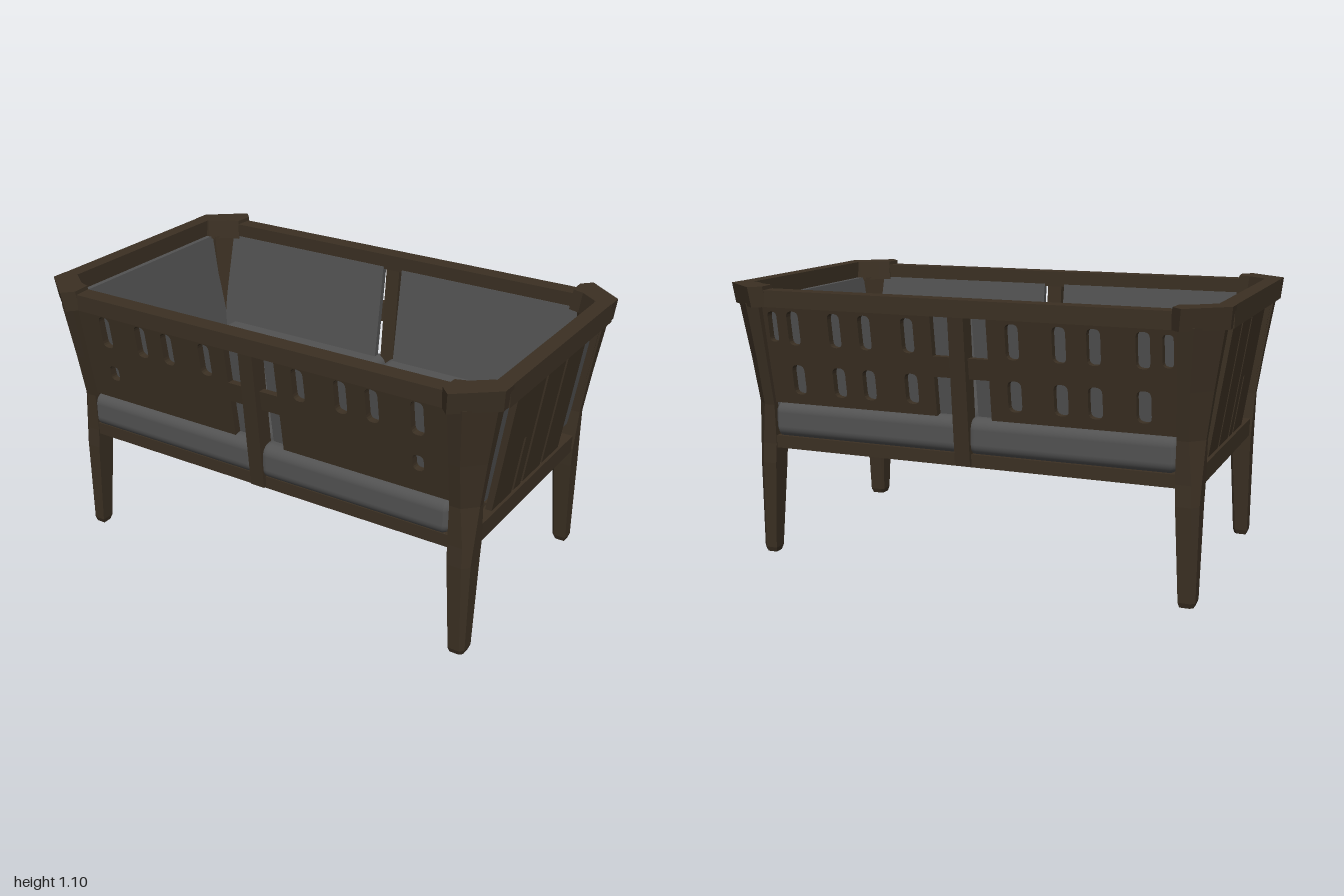
import * as THREE from 'three';
import { RoundedBoxGeometry } from 'three/addons/geometries/RoundedBoxGeometry.js';

const wood = new THREE.MeshStandardMaterial({ color: 0x3b3023 });
wood.name = 'dark wood';
const fabric = new THREE.MeshStandardMaterial({ color: 0x525252 });
fabric.name = 'grey fabric';

export function createModel() {
  const model = new THREE.Group();
  model.name = 'slattedDaybed';

  const add = (name, geometry, material) => {
    const mesh = new THREE.Mesh(geometry, material);
    mesh.name = name;
    model.add(mesh);
    return mesh;
  };
  // box from its lower and upper limits
  const box = (name, x0, x1, y0, y1, z0, z1, material = wood) =>
    add(name, new THREE.BoxGeometry(x1 - x0, y1 - y0, z1 - z0), material)
      .position.set((x0 + x1) / 2, (y0 + y1) / 2, (z0 + z1) / 2);

  const rect = (Type, x0, x1, y0, y1) => new Type([
    new THREE.Vector2(x0, y0), new THREE.Vector2(x1, y0),
    new THREE.Vector2(x1, y1), new THREE.Vector2(x0, y1)]);
  // upright slot with rounded corners
  const slot = (cx, w, y0, y1) => {
    const p = new THREE.Path(), r = w * 0.45, a = cx - w / 2, b = cx + w / 2;
    p.moveTo(a, y0 + r).quadraticCurveTo(a, y0, a + r, y0).lineTo(b - r, y0);
    p.quadraticCurveTo(b, y0, b, y0 + r).lineTo(b, y1 - r);
    p.quadraticCurveTo(b, y1, b - r, y1).lineTo(a + r, y1);
    p.quadraticCurveTo(a, y1, a, y1 - r).lineTo(a, y0 + r);
    return p;
  };
  // upright board that leans outwards with height, turned to face one side
  const leaning = (name, shape, thickness, outer, slope, turn, material) => {
    const g = new THREE.ExtrudeGeometry(shape, { depth: thickness, bevelEnabled: false, curveSegments: 4 });
    const p = g.attributes.position;
    for (let i = 0; i < p.count; i++) {
      p.setZ(i, p.getZ(i) - thickness + outer + slope * (p.getY(i) - 0.6));
    }
    g.computeVertexNormals();
    g.rotateY(turn);
    add(name, g, material);
  };

  // corner legs: tapered feet flaring into chamfered posts
  // [y, outer x, outer z, inner x, inner z, outer chamfer, inner chamfer]
  const levels = [
    [0, 0.895, 0.495, 0.845, 0.445, 0.012, 0.012],
    [0.02, 0.902, 0.502, 0.84, 0.438, 0.015, 0.01],
    [0.38, 0.905, 0.508, 0.822, 0.412, 0.025, 0.01],
    [0.46, 0.908, 0.504, 0.818, 0.41, 0.03, 0.01],
    [0.62, 0.915, 0.506, 0.82, 0.43, 0.05, 0.05],
    [0.8, 0.94, 0.538, 0.825, 0.432, 0.07, 0.06],
    [1.03, 0.976, 0.577, 0.83, 0.435, 0.09, 0.07]];
  const leg = (sx, sz) => {
    const v = [], index = [], n = 6;
    levels.forEach(([y, X, Z, x, z, c, k]) => {
      const ring = [[x + k, z], [X, z], [X, Z - c], [X - c, Z], [x, Z], [x, z + k]];
      if (sx * sz > 0) ring.reverse();
      ring.forEach(([a, b]) => v.push(a * sx, y, b * sz));
    });
    for (let l = 0; l < levels.length - 1; l++) {
      for (let j = 0; j < n; j++) {
        const a = l * n + j, b = l * n + (j + 1) % n;
        index.push(a, b, b + n, a, b + n, a + n);
      }
    }
    const top = (levels.length - 1) * n;
    for (let j = 1; j < n - 1; j++) index.push(0, j + 1, j, top, top + j, top + j + 1);
    const g = new THREE.BufferGeometry();
    g.setAttribute('position', new THREE.Float32BufferAttribute(v, 3));
    g.setIndex(index);
    const flat = g.toNonIndexed();
    flat.computeVertexNormals();
    add('leg', flat, wood);
  };

  // angled caps on the rail corners, slightly narrower underneath
  const cornerCap = (sx, sz) => {
    const outline = [[1, 0.43], [1, 0.495], [0.85, 0.617], [0.81, 0.575], [0.815, 0.5], [0.86, 0.485], [0.93, 0.43]];
    const shape = new THREE.Shape(outline.map(([x, z]) => new THREE.Vector2(x * sx, -z * sz)));
    const g = new THREE.ExtrudeGeometry(shape, { depth: 0.08, bevelEnabled: false });
    g.rotateX(-Math.PI / 2);
    g.translate(0, 1.02, 0);
    const p = g.attributes.position;
    for (let i = 0; i < p.count; i++) {
      if (p.getY(i) < 1.05) {
        p.setX(i, p.getX(i) - 0.008 * sx);
        p.setZ(i, p.getZ(i) - 0.011 * sz);
      }
    }
    g.computeVertexNormals();
    add('cornerCap', g, wood);
  };
  for (const sx of [1, -1]) for (const sz of [1, -1]) { leg(sx, sz); cornerCap(sx, sz); }

  // long sides: pierced panels, fabric lining, centre post
  for (const [side, turn] of [['front', 0], ['back', Math.PI]]) {
    for (const s of [1, -1]) {
      const span = (Type, a, b, y0, y1) => rect(Type, Math.min(a * s, b * s), Math.max(a * s, b * s), y0, y1);
      const panel = span(THREE.Shape, 0.112, 0.86, 0.63, 1.03);
      [0.21, 0.39, 0.52, 0.7].forEach((x) => {
        panel.holes.push(slot(x * s, 0.052, 0.87, 1.005));
        if (side === 'back') panel.holes.push(slot(x * s, 0.055, 0.67, 0.79));
      });
      if (side === 'front') panel.holes.push(slot(0.695 * s, 0.045, 0.72, 0.785));
      else panel.holes.push(slot(0.79 * s, 0.04, 0.88, 1));
      leaning(side + 'Panel', panel, 0.03, 0.487, 0.15, turn, wood);
      leaning(side + 'PanelBar', span(THREE.Shape, 0, 0.113, 0.785, 0.865), 0.03, 0.487, 0.15, turn, wood);
      leaning(side + 'Lining', span(THREE.Shape, 0.045, 0.86, 0.56, 1.03), 0.025, 0.456, 0.15, turn, fabric);
    }
    leaning(side + 'CentrePost', rect(THREE.Shape, -0.031, 0.031, 0.45, 1.03), 0.07, 0.527, 0.1, turn, wood);
  }

  // end walls: wide boards with narrow gaps and open strips by the legs
  for (const s of [1, -1]) {
    const board = rect(THREE.Shape, -0.45, 0.45, 0.5, 1.03);
    [[-0.43, -0.295, 0.515, 1.005], [-0.14, -0.12, 0.515, 1.005],
      [0.035, 0.056, 0.515, 1.005], [0.115, 0.135, 0.515, 0.75], [0.297, 0.43, 0.515, 1.005]]
      .forEach(([z0, z1, y0, y1]) => board.holes.push(
        rect(THREE.Path, Math.min(-z0 * s, -z1 * s), Math.max(-z0 * s, -z1 * s), y0, y1)));
    leaning('endBoards', board, 0.026, 0.901, 0.155, s * Math.PI / 2, wood);
    leaning('endLining', rect(THREE.Shape, -0.455, 0.455, 0.56, 1.03), 0.025, 0.874, 0.155, s * Math.PI / 2, fabric);
  }

  // top rails and lower frame
  for (const s of [1, -1]) {
    const lo = (a, b) => Math.min(a * s, b * s), hi = (a, b) => Math.max(a * s, b * s);
    box('longTopRail', -0.84, 0.84, 1.02, 1.085, lo(0.498, 0.57), hi(0.498, 0.57));
    box('endTopRail', lo(0.937, 0.998), hi(0.937, 0.998), 1.02, 1.1, -0.45, 0.45);
    box('longBaseRail', -0.86, 0.86, 0.445, 0.495, lo(0.445, 0.5), hi(0.445, 0.5));
    box('endBaseRail', lo(0.85, 0.9), hi(0.85, 0.9), 0.445, 0.515, -0.45, 0.45);
  }
  box('centreCrossbar', -0.03, 0.03, 0.447, 0.49, -0.47, 0.47);
  for (let i = -2; i <= 2; i++) {
    box('baseSlat', -0.87, 0.87, 0.465, 0.495, i * 0.18 - 0.045, i * 0.18 + 0.045);
  }

  // pair of seat cushions bulging past the base rails
  for (const s of [1, -1]) {
    const g = new RoundedBoxGeometry(0.845, 0.145, 1.025, 4, 0.045);
    const p = g.attributes.position;
    for (let i = 0; i < p.count; i++) {
      // narrow the middle so the ends stay inside the legs
      if (Math.abs(p.getZ(i)) > 0.45 && p.getX(i) * s > 0.38) p.setX(i, p.getX(i) - 0.02 * s);
    }
    add('seatCushion', g, fabric).position.set(0.425 * s, 0.562, 0.005);
  }
  return model;
}
